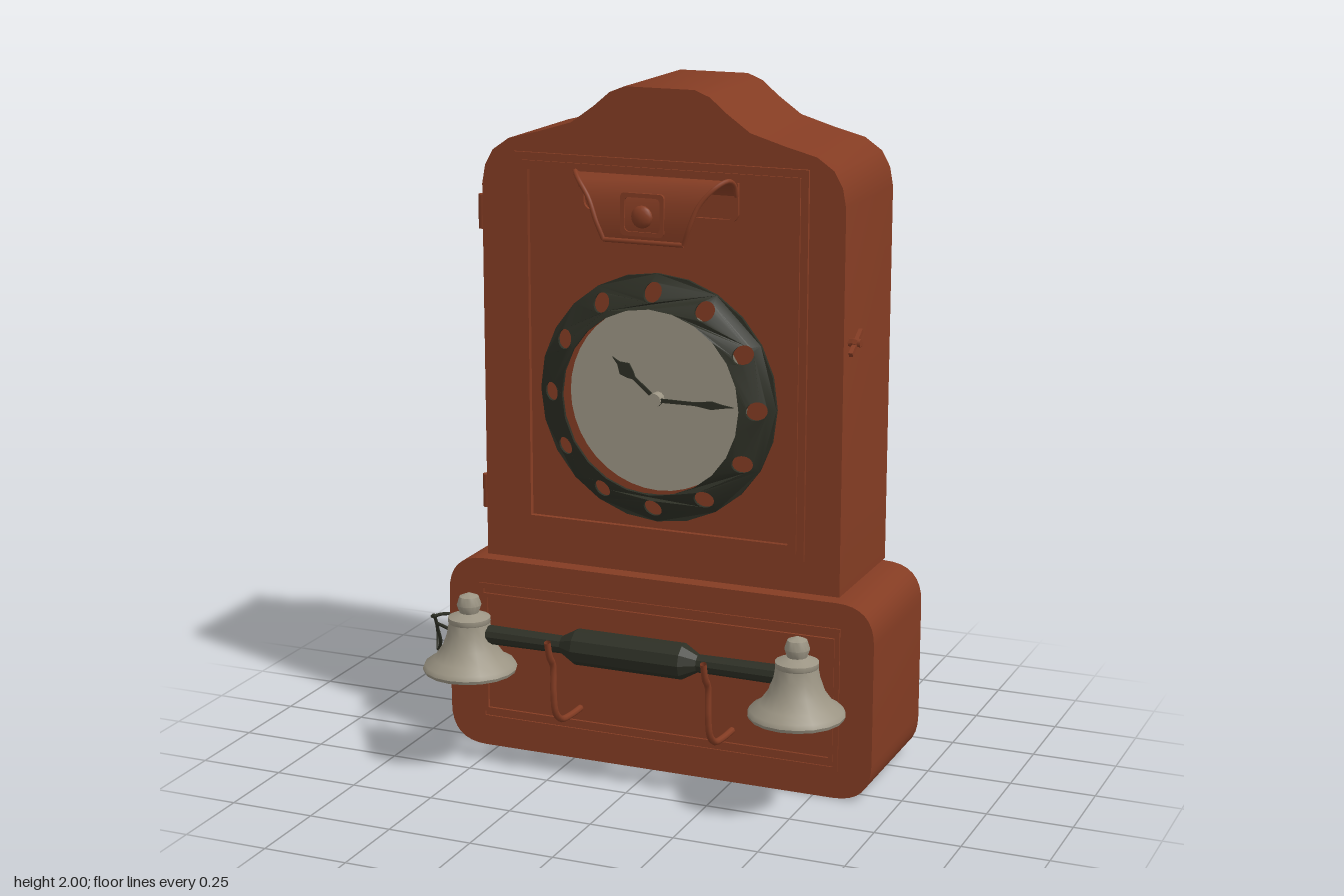
import * as THREE from 'three';
import { toCreasedNormals } from 'three/addons/utils/BufferGeometryUtils.js';

const wood = new THREE.MeshStandardMaterial({ color: 0x843c23, side: THREE.DoubleSide });
wood.name = 'red brown wood';
const ivory = new THREE.MeshStandardMaterial({ color: 0x9c9584, side: THREE.DoubleSide });
ivory.name = 'aged ivory metal';
const dark = new THREE.MeshStandardMaterial({ color: 0x2d2f25, side: THREE.DoubleSide });
dark.name = 'blackened iron';

const CX = 0.01; // centre line of the cabinet
const V = (x, y, z) => new THREE.Vector3(x, y, z);

function add(parent, name, geometry, material, x = 0, y = 0, z = 0) {
  const mesh = new THREE.Mesh(geometry, material);
  mesh.name = name;
  mesh.position.set(x, y, z);
  parent.add(mesh);
  return mesh;
}

function extrude(shape, depth, curveSegments = 8) {
  const g = new THREE.ExtrudeGeometry(shape, { depth, bevelEnabled: false, curveSegments });
  return toCreasedNormals(g, 0.6);
}

function roundedRect(x0, y0, x1, y1, r, Type = THREE.Shape) {
  const s = new Type();
  s.moveTo(x0 + r, y0);
  s.lineTo(x1 - r, y0);
  s.quadraticCurveTo(x1, y0, x1, y0 + r);
  s.lineTo(x1, y1 - r);
  s.quadraticCurveTo(x1, y1, x1 - r, y1);
  s.lineTo(x0 + r, y1);
  s.quadraticCurveTo(x0, y1, x0, y1 - r);
  s.lineTo(x0, y0 + r);
  s.quadraticCurveTo(x0, y0, x0 + r, y0);
  return s;
}

// Rectangular picture-frame moulding of width w
function frame(x0, y0, x1, y1, w, depth, r = 0.001) {
  const s = roundedRect(x0, y0, x1, y1, r);
  s.holes.push(roundedRect(x0 + w, y0 + w, x1 - w, y1 - w, r, THREE.Path));
  return extrude(s, depth);
}

function tube(points, radius, segments = 24) {
  return new THREE.TubeGeometry(new THREE.CatmullRomCurve3(points), segments, radius, 8);
}

// Arched cabinet outline, mirrored about the centre line
function cabinetShape() {
  const right = [[0.55, 0.592], [0.55, 1.70], [0.54, 1.755], [0.515, 1.80], [0.465, 1.835],
    [0.37, 1.86], [0.27, 1.89], [0.20, 1.94], [0.15, 1.982], [0.105, 2.0]];
  const left = right.map(([x, y]) => [-x, y]).reverse();
  return new THREE.Shape([...right, ...left].map(([x, y]) => new THREE.Vector2(x + CX, y)));
}

// Conical ring with twelve round holes
function dialRing() {
  const s = new THREE.Shape().absarc(0, 0, 0.362, 0, Math.PI * 2);
  s.holes.push(new THREE.Path().absarc(0, 0, 0.27, 0, Math.PI * 2, true));
  for (let i = 0; i < 12; i++) {
    const a = (i * Math.PI) / 6;
    const hole = new THREE.Path();
    hole.absarc(Math.cos(a) * 0.314, Math.sin(a) * 0.314, 0.027, 0, Math.PI * 2, true);
    s.holes.push(hole);
  }
  const g = new THREE.ExtrudeGeometry(s, { depth: 0.01, bevelEnabled: false, curveSegments: 12 });
  const p = g.attributes.position;
  for (let i = 0; i < p.count; i++) {
    const r = Math.hypot(p.getX(i), p.getY(i));
    p.setZ(i, p.getZ(i) + 0.09 - Math.max(0, r - 0.275) * 0.66);
  }
  return toCreasedNormals(g, 0.5);
}

// Slender hand with a leaf-shaped swelling near its tip
function handGeometry(length, leaf) {
  const half = [[-0.02, 0.006], [length * 0.5, 0.005], [length * 0.58, leaf * 0.6],
    [length * 0.72, leaf], [length * 0.86, 0.005]];
  const pts = [...half, [length, 0], ...half.map(([x, y]) => [x, -y]).reverse()];
  return extrude(new THREE.Shape(pts.map(([x, y]) => new THREE.Vector2(x, y))), 0.005);
}

// Curved canopy: each row is z, y, half width
function canopy(parent) {
  const rows = [[0.035, 1.715, 0.235], [0.05, 1.745, 0.235], [0.085, 1.764, 0.23],
    [0.12, 1.748, 0.205], [0.14, 1.70, 0.165], [0.147, 1.64, 0.14], [0.14, 1.588, 0.12]];
  const g = new THREE.PlaneGeometry(2, 1, 1, rows.length - 1);
  const p = g.attributes.position;
  for (let i = 0; i < p.count; i++) {
    const [z, y, w] = rows[Math.floor(i / 2)];
    p.setXYZ(i, p.getX(i) * w, y, z);
  }
  g.computeVertexNormals();
  add(parent, 'canopySheet', g, wood, CX);
  for (const s of [-1, 1]) {
    add(parent, 'canopyEdge', tube(rows.map(([z, y, w]) => V(s * w, y, z)), 0.007), wood, CX);
  }
  const lip = new THREE.CylinderGeometry(0.007, 0.007, 0.24, 8).rotateZ(Math.PI / 2);
  add(parent, 'canopyLip', lip, wood, CX, 1.588, 0.14);
  add(parent, 'canopyBadge', frame(-0.065, -0.06, 0.065, 0.06, 0.012, 0.01, 0.015), wood, CX, 1.665, 0.14);
  const knob = new THREE.SphereGeometry(0.032, 12, 8).scale(1, 1, 0.5);
  add(parent, 'canopyKnob', knob, wood, CX, 1.66, 0.15);
  add(parent, 'canopyBackplate', frame(-0.235, 1.64, 0.24, 1.77, 0.008, 0.012, 0.03), wood, CX, 0, 0.025);
}

function bell(parent, x) {
  const profile = [[0.125, 0.312], [0.134, 0.305], [0.138, 0.315], [0.132, 0.328], [0.105, 0.345],
    [0.08, 0.38], [0.066, 0.42], [0.06, 0.452], [0.062, 0.455], [0.062, 0.468], [0.045, 0.475],
    [0.028, 0.482], [0.036, 0.505], [0.028, 0.53], [0, 0.542]];
  const g = new THREE.LatheGeometry(profile.map(([r, y]) => new THREE.Vector2(r, y)), 18);
  add(parent, 'bell', toCreasedNormals(g, 0.7), ivory, x, 0, 0.245);
}

export function createModel() {
  const model = new THREE.Group();
  model.name = 'wallClockWithBells';

  // Cabinet and base
  add(model, 'cabinet', extrude(cabinetShape(), 0.41), wood, 0, 0, -0.385);
  add(model, 'base', extrude(roundedRect(-0.655, 0, 0.675, 0.585, 0.115), 0.44), wood, 0, 0, -0.385);

  // Mouldings
  add(model, 'doorOuterMoulding', frame(-0.437, 0.685, 0.455, 1.80, 0.022, 0.01), wood, 0, 0, 0.025);
  add(model, 'doorInnerMoulding', frame(-0.415, 0.707, 0.433, 1.778, 0.025, 0.016), wood, 0, 0, 0.025);
  add(model, 'baseOuterMoulding', frame(-0.555, 0.08, 0.575, 0.51, 0.015, 0.005), wood, 0, 0, 0.055);
  add(model, 'baseInnerMoulding', frame(-0.54, 0.11, 0.56, 0.48, 0.012, 0.008), wood, 0, 0, 0.055);

  // Dial
  const dial = new THREE.Group();
  dial.name = 'dial';
  dial.position.set(CX, 1.12, 0);
  model.add(dial);
  add(dial, 'dialRing', dialRing(), dark);
  add(dial, 'dialFace', new THREE.CircleGeometry(0.272, 40), ivory, 0, 0, 0.034);
  add(dial, 'minuteHand', handGeometry(0.24, 0.012), dark, 0, 0, 0.055);
  add(dial, 'hourHand', handGeometry(0.175, 0.022), dark, 0, 0, 0.048).rotation.z = 2.44;
  const hub = new THREE.CylinderGeometry(0.02, 0.02, 0.035, 12).rotateX(Math.PI / 2);
  add(dial, 'handHub', hub, ivory, 0, 0, 0.048);

  // Canopy above the dial
  const top = new THREE.Group();
  top.name = 'canopy';
  model.add(top);
  canopy(top);

  // Hinges on one side, latch on the other
  for (const y of [0.78, 1.615]) {
    add(model, 'hinge', new THREE.CylinderGeometry(0.014, 0.014, 0.1, 10), wood, -0.55, y, 0);
  }
  const latch = new THREE.Group();
  latch.name = 'latch';
  latch.position.set(0.575, 1.32, -0.02);
  model.add(latch);
  add(latch, 'latchPivot', new THREE.CylinderGeometry(0.012, 0.012, 0.04, 8).rotateZ(Math.PI / 2), wood);
  for (const a of [-0.3, 0.55]) {
    add(latch, 'latchArm', new THREE.BoxGeometry(0.012, 0.014, 0.1), wood, 0.005).rotation.x = a;
  }

  // Bells and the bar between them
  bell(model, -0.495);
  bell(model, 0.515);
  const bar = new THREE.Group();
  bar.name = 'bellBar';
  bar.position.set(CX, 0.42, 0.24);
  model.add(bar);
  const turned = (pts, n) => toCreasedNormals(
    new THREE.LatheGeometry(pts.map(([r, x]) => new THREE.Vector2(r, x)), n), 0.5).rotateZ(-Math.PI / 2);
  add(bar, 'barRod', turned([[0, -0.47], [0.028, -0.47], [0.024, 0], [0.028, 0.47], [0, 0.47]], 10), dark);
  add(bar, 'barGrip', turned([[0.026, -0.21], [0.052, -0.165], [0.052, 0.165], [0.026, 0.21]], 10), dark);

  // Hooks that carry the bar
  for (const s of [-1, 1]) {
    const path = [[0.16, 0.04], [0.162, 0.13], [0.172, 0.19], [0.205, 0.228], [0.26, 0.24],
      [0.355, 0.243], [0.385, 0.265], [0.435, 0.28]];
    add(model, 'barHook', tube(path.map(([y, z]) => V(CX + s * 0.24, y, z)), 0.01), wood);
  }

  // Looped cord from one bell to the base
  const cord = [V(-0.54, 0.41, 0.24), V(-0.60, 0.42, 0.22), V(-0.64, 0.40, 0.17), V(-0.655, 0.33, 0.12),
    V(-0.675, 0.295, 0.1), V(-0.685, 0.35, 0.08), V(-0.675, 0.41, 0.12), V(-0.66, 0.42, 0.16),
    V(-0.67, 0.40, 0.07), V(-0.65, 0.39, 0.025)];
  add(model, 'cord', tube(cord, 0.005, 48), dark);

  return model;
}
